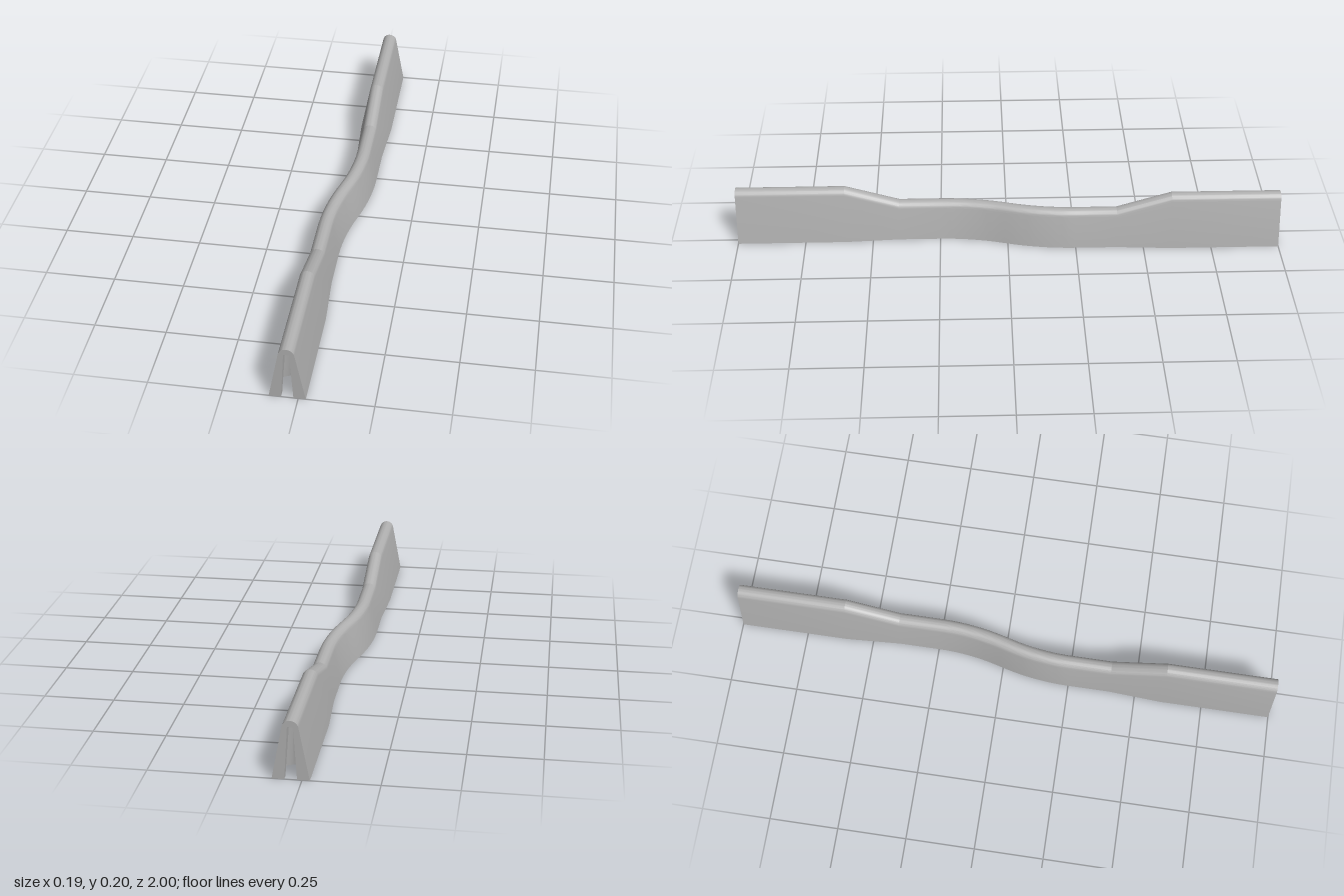
import * as THREE from 'three';
import { toCreasedNormals } from 'three/addons/utils/BufferGeometryUtils.js';

const END_X = -0.036;             // centre line at the front end
const BEND = 0.25;                // half length of the S-bend
const TALL = 0.204, LOW = 0.143;  // ridge heights
const R = 0.027, LEAN = 0.19;     // ridge radius, wall slope
const SLOT_TOP = 0.182;

// Centre line: two opposed arcs joining the straight ends
function centre(z) {
  const t = Math.min(Math.abs(z) / BEND, 1);
  return Math.sign(z) * END_X * (1 - (1 - t) ** 2);
}
function slope(z) {
  const t = Math.min(Math.abs(z) / BEND, 1);
  return (END_X * 2 * (1 - t)) / BEND;
}
function height(z) {
  return THREE.MathUtils.lerp(LOW, TALL, THREE.MathUtils.clamp((Math.abs(z) - 0.4) / 0.2, 0, 1));
}

// Tapered wall with a rounded ridge, from the +x foot over to the -x foot
function profile(h) {
  const a0 = Math.atan(LEAN), pts = [];
  const tx = R * Math.cos(a0), ty = h - R + R * Math.sin(a0);
  pts.push([tx + ty * LEAN, 0]);
  for (let i = 0; i <= 14; i++) {
    const a = a0 + (Math.PI - 2 * a0) * i / 14;
    pts.push([R * Math.cos(a), h - R + R * Math.sin(a)]);
  }
  pts.push([-(tx + ty * LEAN), 0]);
  return pts;
}

function ringAt(z) {
  const angle = Math.atan(slope(z)), c = Math.cos(angle), s = Math.sin(angle);
  return profile(height(z)).map(([u, y]) => new THREE.Vector3(centre(z) + u * c, y, z - u * s));
}

function loft(rings, crease) {
  const n = rings[0].length, index = [];
  for (let k = 0; k < rings.length - 1; k++) {
    for (let j = 0; j < n - 1; j++) {
      const a = k * n + j, b = a + 1, c = a + n, d = c + 1;
      index.push(a, c, b, b, c, d);
    }
  }
  const g = new THREE.BufferGeometry().setFromPoints(rings.flat());
  g.setIndex(index);
  return toCreasedNormals(g, crease);
}

// Keyhole plan: narrow mouth opening into a round socket, shrinking upwards
function keyhole(y) {
  const t = y / SLOT_TOP;
  const r = THREE.MathUtils.lerp(0.043, 0.02, t), s = THREE.MathUtils.lerp(0.0205, 0.0095, t);
  const a0 = Math.asin(s / r), pts = [new THREE.Vector3(END_X + s, y, 1)];
  for (let i = 0; i <= 24; i++) {
    const a = a0 + (2 * Math.PI - 2 * a0) * i / 24;
    pts.push(new THREE.Vector3(END_X + r * Math.sin(a), y, 0.94 + r * Math.cos(a)));
  }
  pts.push(new THREE.Vector3(END_X - s, y, 1));
  return pts;
}

// Flat plate in the xz plane, facing down
function plate(points, y) {
  const shape = new THREE.Shape(points.map(p => new THREE.Vector2(p.x, p.z)));
  return new THREE.ShapeGeometry(shape).rotateX(Math.PI / 2).translate(0, y, 0);
}

export function createModel() {
  const model = new THREE.Group();
  model.name = 'barrier';
  const concrete = new THREE.MeshStandardMaterial({ color: 0xb0b0b0 });
  concrete.name = 'concrete grey';
  const add = (parent, name, geometry) => {
    const mesh = new THREE.Mesh(geometry, concrete);
    mesh.name = name;
    parent.add(mesh);
  };

  // Outer skin: walls and ridge swept along the bend
  const stations = [1, 0.6, 0.4];
  for (let i = 0; i <= 20; i++) stations.push(BEND * (1 - i / 10));
  stations.push(-0.4, -0.6, -1);
  const rings = stations.map(ringAt);
  add(model, 'wallsAndRidge', loft(rings, 0.26));

  // Underside with a keyhole cut at each end
  const half = [...keyhole(0).reverse(), ...rings.map(r => r[0])];
  const outline = [...half, ...half.map(p => new THREE.Vector3(-p.x, 0, -p.z))];
  add(model, 'underside', plate(outline, 0));

  // Ends: slotted face, socket walls and socket ceiling
  const face = new THREE.Shape([
    ...profile(TALL).map(([u, y]) => new THREE.Vector2(END_X + u, y)),
    new THREE.Vector2(END_X - 0.0205, 0),
    new THREE.Vector2(END_X - 0.0095, SLOT_TOP),
    new THREE.Vector2(END_X + 0.0095, SLOT_TOP),
    new THREE.Vector2(END_X + 0.0205, 0),
  ]);
  for (const [name, turn] of [['frontEnd', 0], ['backEnd', Math.PI]]) {
    const end = new THREE.Group();
    end.name = name;
    end.rotation.y = turn;
    add(end, 'endFace', new THREE.ShapeGeometry(face).translate(0, 0, 1));
    add(end, 'socketWalls', loft([keyhole(0), keyhole(SLOT_TOP)], 0.6));
    add(end, 'socketCeiling', plate(keyhole(SLOT_TOP), SLOT_TOP));
    model.add(end);
  }
  return model;
}
